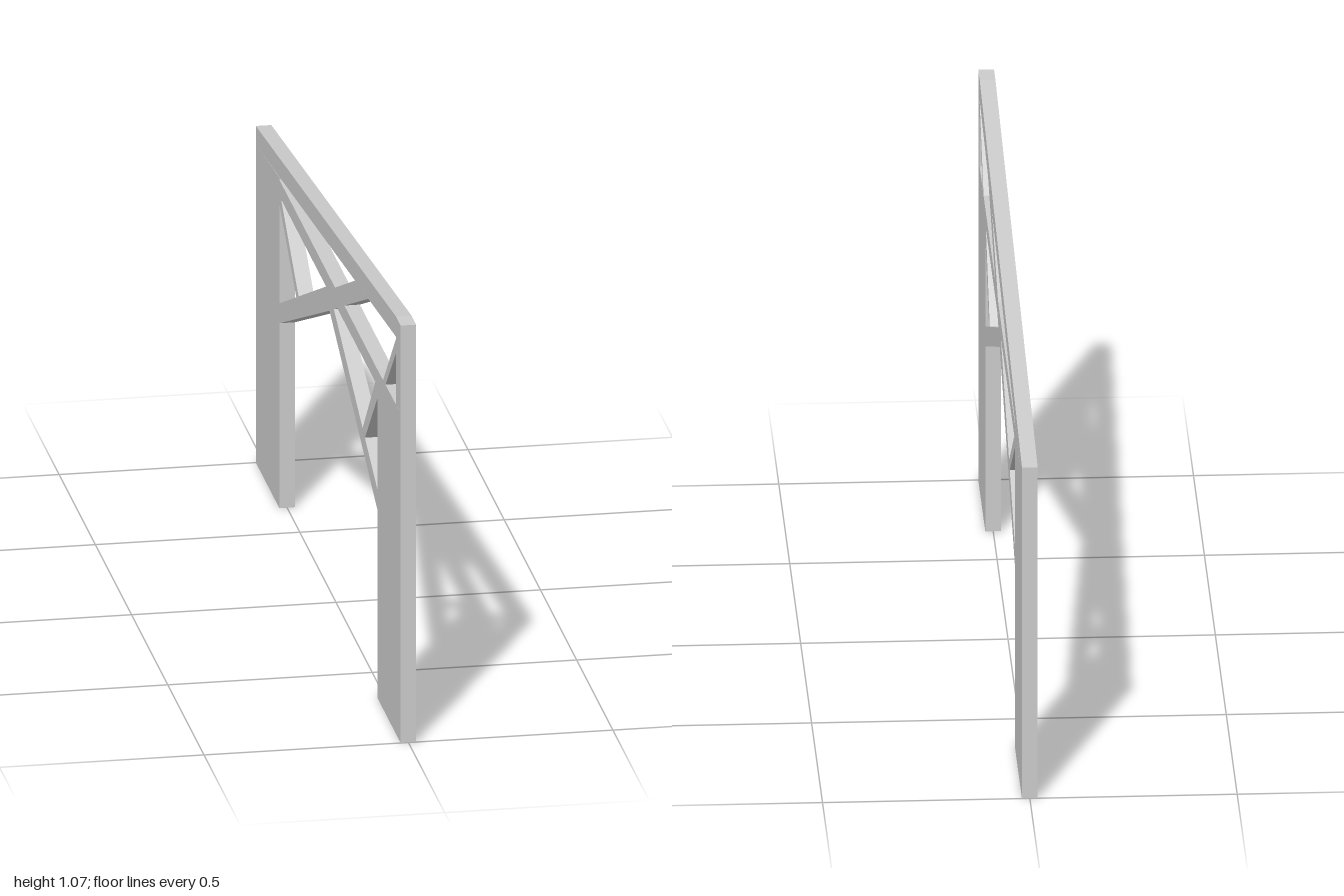
import * as THREE from 'three';

const THICKNESS = 0.038;
const material = new THREE.MeshStandardMaterial({ color: 0xcccccc, flatShading: true });

// Flat plate cut from a [z, y] outline, centred on x = 0
function plate(name, outline) {
  const shape = new THREE.Shape(outline.map(([z, y]) => new THREE.Vector2(z, y)));
  const geometry = new THREE.ExtrudeGeometry(shape, { depth: THICKNESS, bevelEnabled: false });
  geometry.translate(0, 0, -THICKNESS / 2);
  geometry.rotateY(-Math.PI / 2);
  const mesh = new THREE.Mesh(geometry, material);
  mesh.name = name;
  return mesh;
}

export function createModel() {
  const group = new THREE.Group();
  group.name = 'trussFrame';
  group.add(
    // Wide wall columns
    plate('frontColumn', [[1, 0], [1, 0.845], [0.677, 0.842], [0.677, 0]]),
    plate('rearColumn', [[-0.675, 0], [-0.675, 0.848], [-1, 0.815], [-1, 0]]),
    // Short post carrying the high end of the rafter
    plate('frontPost', [[1, 0.845], [1, 1.07], [0.934, 1.07], [0.934, 0.845]]),
    // Sloping rafter, running out over the rear column
    plate('rafter', [[0.934, 1.07], [-1, 0.863], [-1, 0.815], [-0.69, 0.848], [0.934, 1.018]]),
    // Horizontal tie beam
    plate('tieBeam', [[0.677, 0.8], [0.677, 0.842], [-0.675, 0.842], [-0.675, 0.8]]),
    // Long brace from the rafter down to the rear column
    plate('longBrace', [[0.553, 0.978], [0.37, 0.959], [0.092, 0.841], [-0.03, 0.8],
      [-0.675, 0.525], [-0.675, 0.474], [0.018, 0.755], [0.22, 0.841]]),
    // Short brace from the front column up to the crossing
    plate('shortBrace', [[0.677, 0.483], [0.677, 0.535], [0.075, 0.782], [0.018, 0.755]]),
    // Thin struts
    plate('upperFrontStrut', [[0.934, 1.012], [0.757, 0.843], [0.79, 0.843], [0.934, 0.975]]),
    plate('lowerFrontStrut', [[0.677, 0.8], [0.65, 0.8], [0.473, 0.617], [0.505, 0.604], [0.677, 0.766]]),
    plate('rearStrut', [[-0.65, 0.8], [-0.675, 0.8], [-0.675, 0.78], [-0.437, 0.622], [-0.405, 0.635]])
  );
  return group;
}
